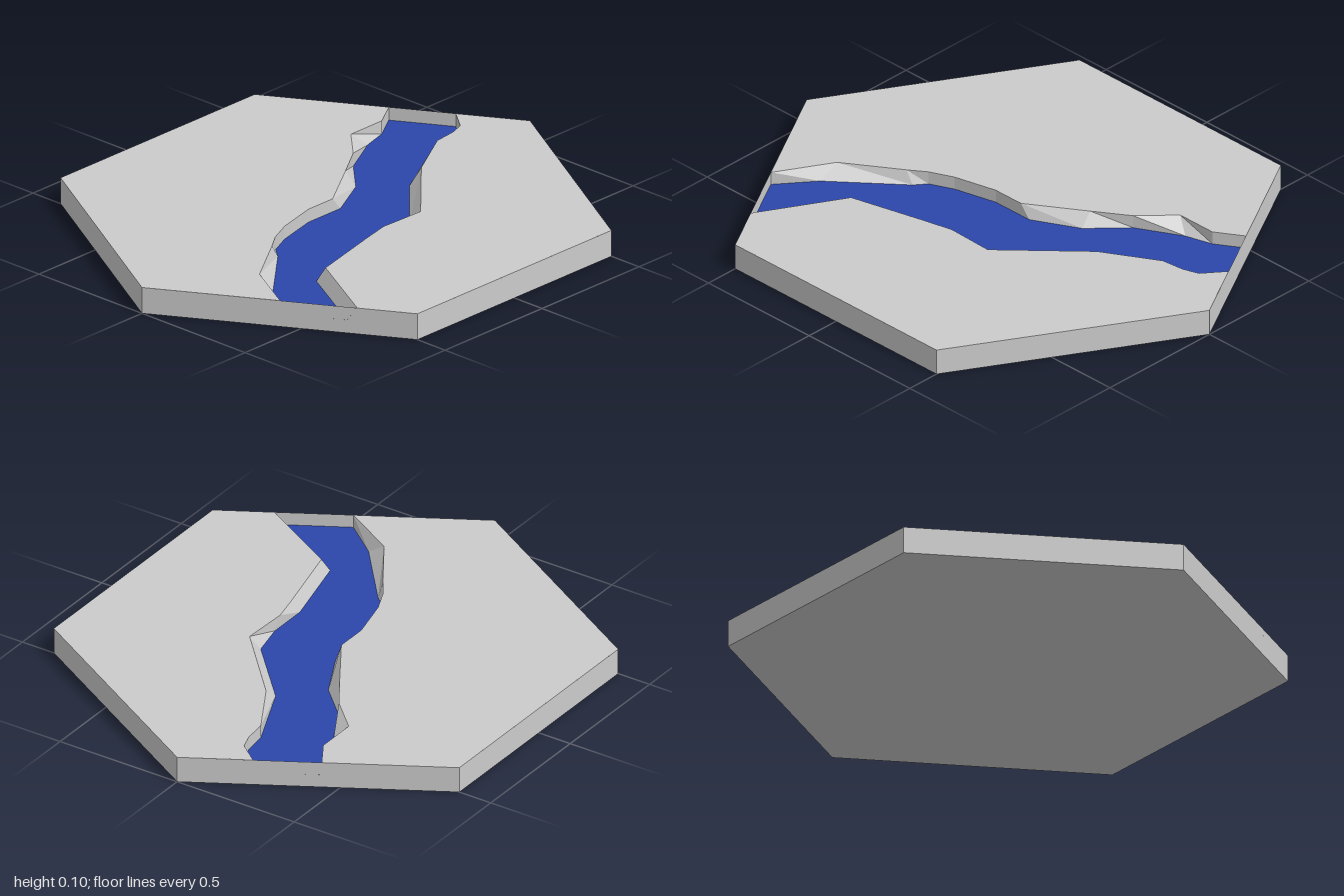
import * as THREE from 'three';

const TOP = 0.1, WATER = 0.05, HX = 0.866;

// Waterline and rim of each bank as [x, z], running from back to front
const leftWater = [[-0.444, -0.744], [-0.38, -0.64], [-0.35, -0.535], [-0.26, -0.365], [-0.13, -0.24], [-0.04, -0.065],
  [-0.04, 0.10], [0, 0.265], [0.04, 0.355], [0.085, 0.39], [0.295, 0.64], [0.434, 0.749]];
const leftRim = [[-0.444, -0.744], [-0.38, -0.64], [-0.38, -0.48], [-0.26, -0.365], [-0.175, -0.235], [-0.04, -0.025],
  [-0.04, 0.10], [0, 0.265], [0.04, 0.355], [0.085, 0.42], [0.222, 0.63], [0.434, 0.749]];
const rightWater = [[-0.233, -0.865], [-0.15, -0.80], [-0.13, -0.74], [-0.12, -0.65], [0, -0.38], [0.228, -0.138],
  [0.258, -0.005], [0.258, 0.153], [0.333, 0.455], [0.645, 0.628]];
const rightRim = [[-0.233, -0.865], [-0.15, -0.80], [-0.13, -0.74], [-0.12, -0.65], [0, -0.44], [0.262, -0.158],
  [0.256, 0.026], [0.28, 0.132], [0.354, 0.43], [0.677, 0.609]];

// Flat upward-facing polygon at height y
function flat(points, y) {
  const shape = new THREE.Shape(points.map(([x, z]) => new THREE.Vector2(x, -z)));
  return new THREE.ShapeGeometry(shape).rotateX(-Math.PI / 2).translate(0, y, 0);
}

// Sloping strip from the rim down to the waterline
function bankStrip(rim, water) {
  const pos = [], index = [];
  rim.forEach(([x, z], i) => {
    pos.push(x, TOP, z, water[i][0], WATER, water[i][1]);
    if (i) {
      const a = 2 * i - 2;
      index.push(a, a + 1, a + 2, a + 1, a + 3, a + 2);
    }
  });
  const g = new THREE.BufferGeometry();
  g.setAttribute('position', new THREE.Float32BufferAttribute(pos, 3));
  g.setIndex(index);
  const faceted = g.toNonIndexed();
  faceted.computeVertexNormals();
  return faceted;
}

export function createModel() {
  const group = new THREE.Group();
  const stone = new THREE.MeshStandardMaterial({ color: 0xcccccc, flatShading: true, side: THREE.DoubleSide });
  const blue = new THREE.MeshStandardMaterial({ color: 0x2c46aa });
  const add = (name, geometry, material = stone) => {
    const mesh = new THREE.Mesh(geometry, material);
    mesh.name = name;
    group.add(mesh);
  };

  // Hexagonal tile: sides, underside and the land on each side of the river
  add('tileSides', new THREE.CylinderGeometry(1, 1, TOP, 6, 1, true).translate(0, TOP / 2, 0));
  add('tileBase', new THREE.CircleGeometry(1, 6, Math.PI / 2).rotateX(Math.PI / 2));
  add('leftLand', flat([...rightRim, [HX, 0.5], [HX, -0.5], [0, -1]], TOP));
  add('rightLand', flat([...leftRim, [0, 1], [-HX, 0.5], [-HX, -0.5]], TOP));

  // River banks and recessed water
  add('leftBank', bankStrip([...rightRim].reverse(), [...rightWater].reverse()));
  add('rightBank', bankStrip(leftRim, leftWater));
  add('water', flat([...leftWater, ...[...rightWater].reverse()], WATER), blue);

  return group;
}
